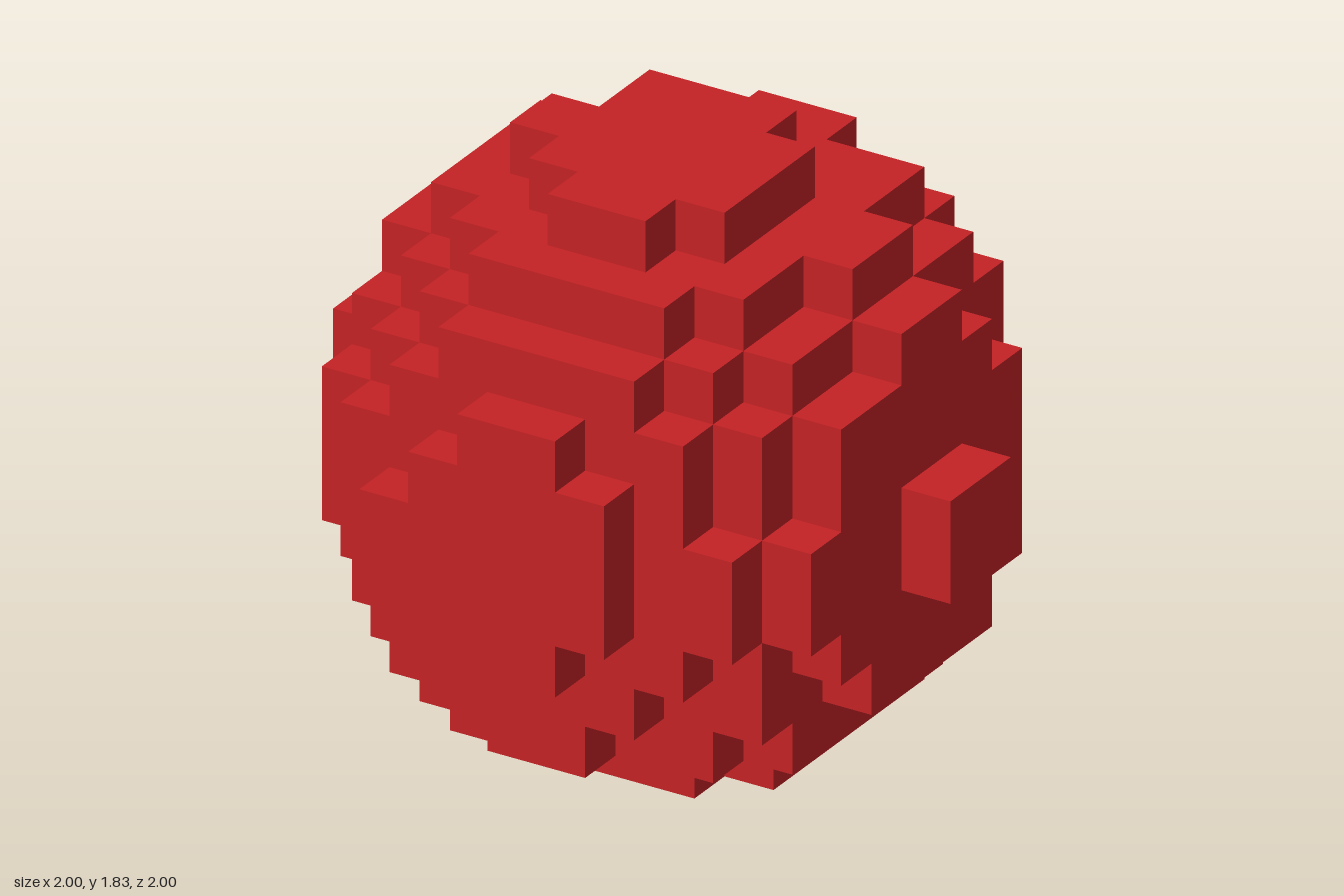
import * as THREE from 'three';
import { mergeGeometries } from 'three/addons/utils/BufferGeometryUtils.js';

const CELL = 1 / 6;

// Rows of the small end caps: first and last-plus-one x cell for rows -3..2
const crownRows = [[0, 0], [-2, 1], [-2, 2], [-3, 2], [-2, 2], [-1, 1]];
const baseRows = [[-2, 3], [-3, 3], [-3, 3], [-3, 3], [-3, 3], [-3, 2]];

const inRows = (rows, x, row) => {
  const span = rows[row + 3];
  return !!span && x >= span[0] && x < span[1];
};

// Single cells that stick out beyond the ball rule
const extraCells = new Set(['4,3,-1', '4,3,0', '4,0,3', '4,-1,3', '-5,-4,0', '0,-4,4']);

// True when the cell with integer coordinates belongs to the stepped ball
function isFilled(x, y, z) {
  if (y < -5) return false;
  if (y === 5) return inRows(crownRows, x, z);
  if (z === 5) return inRows(crownRows, x, y);
  if (y === -5) return inRows(baseRows, x, z);
  if (x === -6) return y >= -2 && y < 2 && z >= -2 && z < 2;
  if (extraCells.has(`${x},${y},${z}`)) return true;
  const dx = x + 0.5 + 0.16, dy = y + 0.5 - 0.23, dz = z + 0.5 - 0.18;
  return dx * dx + dy * dy + dz * dz < 32.74;
}

// One outward square for each of the six directions
function makeSides() {
  const side = (dir, rx, ry) => {
    const geometry = new THREE.PlaneGeometry(CELL, CELL).translate(0, 0, CELL / 2);
    return { dir, geometry: geometry.rotateX(rx).rotateY(ry) };
  };
  const q = Math.PI / 2;
  return [
    side([0, 0, 1], 0, 0), side([1, 0, 0], 0, q),
    side([0, 0, -1], 0, 2 * q), side([-1, 0, 0], 0, -q),
    side([0, 1, 0], -q, 0), side([0, -1, 0], q, 0),
  ];
}

export function createModel() {
  const group = new THREE.Group();
  group.name = 'steppedBall';

  const red = new THREE.MeshStandardMaterial({ color: 0xc42225 });
  red.name = 'red';

  // Keep only the squares that face open air
  const sides = makeSides();
  const faces = [];
  for (let x = -6; x < 6; x++)
    for (let y = -5; y < 6; y++)
      for (let z = -6; z < 6; z++) {
        if (!isFilled(x, y, z)) continue;
        for (const { dir, geometry } of sides) {
          if (isFilled(x + dir[0], y + dir[1], z + dir[2])) continue;
          faces.push(geometry.clone().translate(
            (x + 0.5) * CELL, (y + 5.5) * CELL, (z + 0.5) * CELL));
        }
      }

  const ball = new THREE.Mesh(mergeGeometries(faces), red);
  ball.name = 'ball';
  group.add(ball);
  return group;
}
